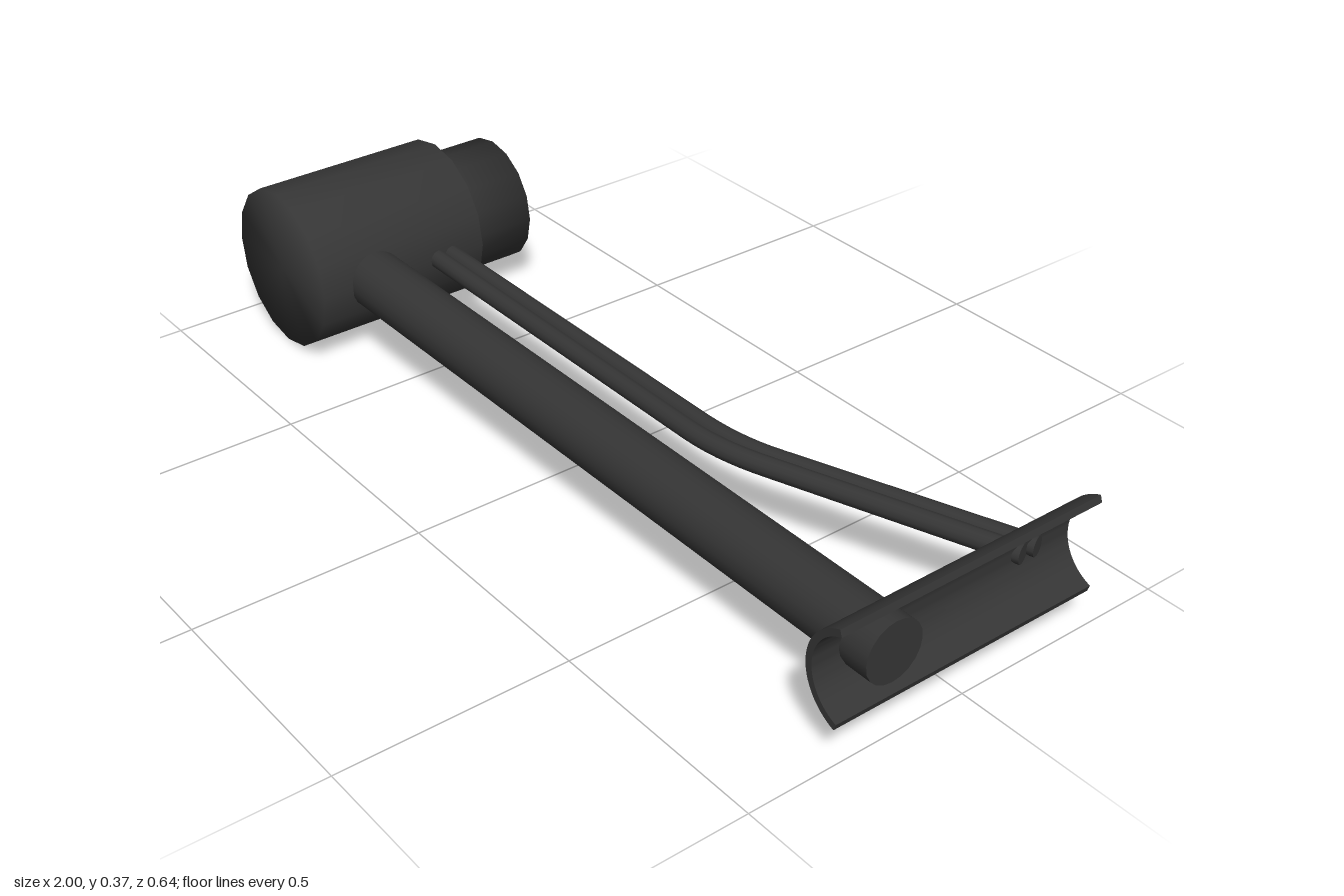
import * as THREE from 'three';
import { toCreasedNormals } from 'three/addons/utils/BufferGeometryUtils.js';

const AXIS_Y = 0.185;

export function createModel() {
  const group = new THREE.Group();
  const darkPlastic = new THREE.MeshStandardMaterial({ color: 0x353535 });
  darkPlastic.name = 'darkPlastic';

  const add = (name, geometry, x = 0, y = 0, z = 0) => {
    const mesh = new THREE.Mesh(geometry, darkPlastic);
    mesh.name = name;
    mesh.position.set(x, y, z);
    group.add(mesh);
    return mesh;
  };

  // Stepped drum along z, softly shaded across its edges
  const profile = [
    [0, -0.255], [0.145, -0.255], [0.145, -0.095],
    [0.184, -0.095], [0.184, 0.322], [0, 0.322],
  ].map(([r, z]) => new THREE.Vector2(r, z));
  const drum = new THREE.LatheGeometry(profile, 16);
  drum.rotateX(Math.PI / 2);
  add('drum', drum, -0.816, AXIS_Y + 0.001, 0);

  // Thick straight arm from the drum through the cradle
  const arm = new THREE.CylinderGeometry(0.066, 0.066, 1.68, 20);
  arm.rotateZ(Math.PI / 2);
  add('arm', arm, 0.16, 0.187, 0.183);

  // Curved cradle plate, open towards +x
  const outer = 0.113, inner = 0.098, half = 1.25;
  const arc = new THREE.Shape();
  arc.absarc(0, 0, outer, Math.PI - half, Math.PI + half, false);
  arc.absarc(0, 0, inner, Math.PI + half, Math.PI - half, true);
  arc.closePath();
  const cradle = new THREE.ExtrudeGeometry(arc, { depth: 0.632, bevelEnabled: false, curveSegments: 16 });
  add('cradle', toCreasedNormals(cradle, 0.6), 1.031, AXIS_Y + 0.001, -0.321);

  // Pair of thin rods that run straight, then bend back to the cradle
  const rods = [
    ['backRod', -0.014, -0.046, -0.232],
    ['frontRod', 0.023, -0.012, -0.194],
  ];
  for (const [name, zStart, zBend, zEnd] of rods) {
    const start = new THREE.Vector3(-0.68, 0.187, zStart);
    const bendStart = new THREE.Vector3(0.25, 0.187, zStart);
    const bendEnd = new THREE.Vector3(0.44, 0.187, zBend);
    const end = new THREE.Vector3(0.94, 0.187, zEnd);
    const slope = (zEnd - zBend) / (end.x - bendEnd.x);
    const corner = new THREE.Vector3(bendEnd.x + (zStart - zBend) / slope, 0.187, zStart);
    const path = new THREE.CurvePath();
    path.add(new THREE.LineCurve3(start, bendStart));
    path.add(new THREE.QuadraticBezierCurve3(bendStart, corner, bendEnd));
    path.add(new THREE.LineCurve3(bendEnd, end));
    add(name, new THREE.TubeGeometry(path, 60, 0.021, 12));

    // End cap facing along the rod
    const cap = new THREE.CircleGeometry(0.021, 12);
    cap.rotateY(Math.PI / 2 - Math.atan(slope));
    add(name + 'Cap', cap, end.x, end.y, end.z);
  }

  return group;
}
